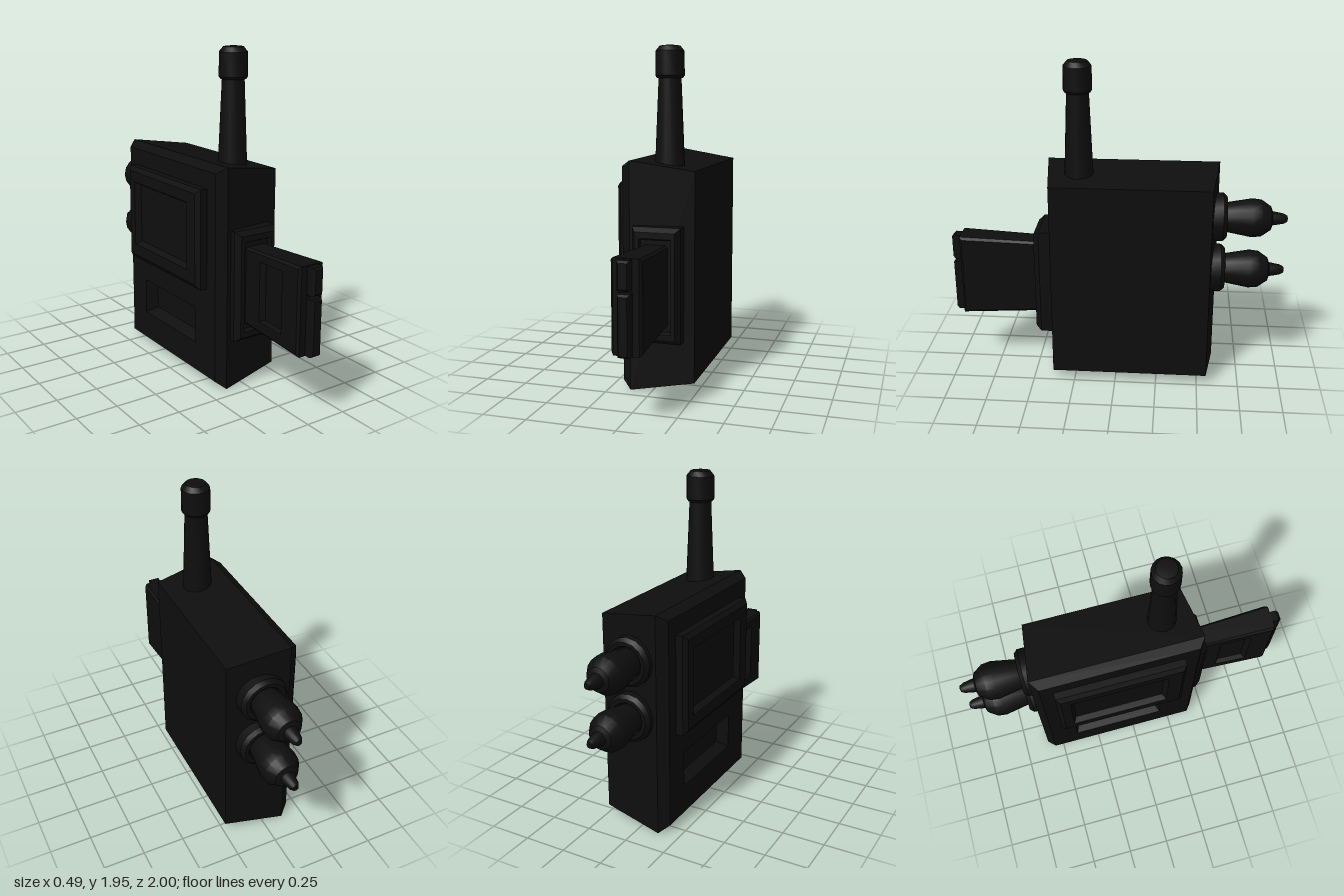
import * as THREE from 'three';
import { toCreasedNormals } from 'three/addons/utils/BufferGeometryUtils.js';

const material = new THREE.MeshStandardMaterial({ color: 0x0e0e0e });

// Skin over rectangular rings [x, y0, y1, z0, z1] running from +x to -x, capped at both ends
function loft(rings) {
  const out = [];
  const corners = rings.map(([x, y0, y1, z0, z1]) =>
    [[x, y0, z0], [x, y1, z0], [x, y1, z1], [x, y0, z1]]);
  const quad = (a, b, c, d) => out.push(...a, ...b, ...c, ...a, ...c, ...d);
  for (let i = 0; i < corners.length - 1; i++) {
    const p = corners[i], q = corners[i + 1];
    for (let k = 0; k < 4; k++) {
      const n = (k + 1) % 4;
      quad(p[k], q[k], q[n], p[n]);
    }
  }
  quad(...corners[0]);
  quad(...[...corners[corners.length - 1]].reverse());
  const geo = new THREE.BufferGeometry();
  geo.setAttribute('position', new THREE.Float32BufferAttribute(out, 3));
  geo.computeVertexNormals();
  return geo;
}

// Turned part from [radius, height] points, with sharp edges kept
function turned(points, sides = 16) {
  const geo = new THREE.LatheGeometry(points.map(([r, y]) => new THREE.Vector2(r, y)), sides);
  return toCreasedNormals(geo, 0.5);
}

export function createModel() {
  const group = new THREE.Group();
  const add = (name, geo, parent = group) => {
    const mesh = new THREE.Mesh(geo, material);
    mesh.name = name;
    parent.add(mesh);
    return mesh;
  };

  // Tapered case with a pocket in its -x face
  add('case', loft([
    [0.24, 0.06, 1.26, -0.555, 0.38],
    [-0.125, 0, 1.315, -0.6, 0.425],
    [-0.18, 0.045, 1.28, -0.555, 0.385],
    [-0.18, 0.22, 0.44, -0.39, 0.18],
    [-0.11, 0.25, 0.42, -0.36, 0.15],
  ]));

  // Raised panel with a sunken window
  add('displayPanel', loft([
    [-0.15, 0.59, 1.18, -0.48, 0.3],
    [-0.222, 0.59, 1.18, -0.48, 0.3],
    [-0.245, 0.62, 1.155, -0.455, 0.275],
    [-0.245, 0.69, 1.09, -0.4, 0.19],
    [-0.21, 0.71, 1.07, -0.38, 0.17],
  ]));

  // Stepped plate on the front, turned to face +z
  add('frontPlate', loft([
    [-0.37, 0.3, 0.955, -0.1, 0.18],
    [-0.455, 0.3, 0.955, -0.1, 0.18],
    [-0.488, 0.325, 0.93, -0.075, 0.155],
    [-0.488, 0.36, 0.895, -0.05, 0.13],
    [-0.465, 0.37, 0.885, -0.045, 0.125],
  ]).rotateY(Math.PI / 2));

  // Flat paddle with a side recess, narrowing towards the plate
  const paddle = loft([
    [0.125, 0.39, 0.865, 0.44, 0.93],
    [0.11, 0.375, 0.88, 0.44, 0.945],
    [-0.03, 0.375, 0.88, 0.44, 0.945],
    [-0.043, 0.39, 0.865, 0.44, 0.93],
    [-0.043, 0.45, 0.82, 0.6, 0.8],
    [-0.01, 0.46, 0.81, 0.62, 0.78],
  ]);
  const pos = paddle.attributes.position;
  for (let i = 0; i < pos.count; i++) {
    const t = Math.min(1, (pos.getZ(i) - 0.44) / 0.46);
    pos.setX(i, 0.041 + (pos.getX(i) - 0.041) * (0.8 + 0.2 * t));
    pos.setY(i, 0.628 + (pos.getY(i) - 0.628) * (0.91 + 0.09 * t));
  }
  paddle.computeVertexNormals();
  add('paddle', paddle);

  // Two raised keys on the paddle's end
  for (const [name, y0, y1] of [['lowerKey', 0.378, 0.705], ['upperKey', 0.72, 0.876]]) {
    add(name, loft([
      [-0.88, y0, y1, 0.008, 0.075],
      [-0.985, y0, y1, 0.008, 0.075],
      [-1, y0 + 0.012, y1 - 0.012, 0.018, 0.065],
    ]).rotateY(Math.PI / 2));
  }

  // Antenna with a wider cap
  const antenna = new THREE.Group();
  antenna.name = 'antenna';
  antenna.position.set(0.05, 0, 0.222);
  group.add(antenna);
  add('antennaRod', turned([[0, 1.2], [0.088, 1.2], [0.063, 1.8], [0, 1.8]]), antenna);
  add('antennaCap', turned([[0, 1.765], [0.073, 1.765], [0.083, 1.78], [0.081, 1.915],
    [0.058, 1.943], [0, 1.95]]), antenna);

  // Two plugs in collars on the back
  for (const [name, y] of [['upperPlug', 1.03], ['lowerPlug', 0.7]]) {
    const plug = new THREE.Group();
    plug.name = name;
    plug.position.set(0.04, y, 0);
    plug.rotation.x = -Math.PI / 2;
    group.add(plug);
    add('plugCollar', turned([[0, 0.5], [0.143, 0.5], [0.143, 0.622], [0.122, 0.645],
      [0.1, 0.645], [0.09, 0.625], [0, 0.625]]), plug);
    add('plugGrip', turned([[0, 0.6], [0.082, 0.6], [0.088, 0.645], [0.114, 0.79], [0.108, 0.845],
      [0.07, 0.9], [0.042, 0.91], [0.03, 0.975], [0.018, 0.996], [0, 1]]), plug);
  }
  return group;
}
